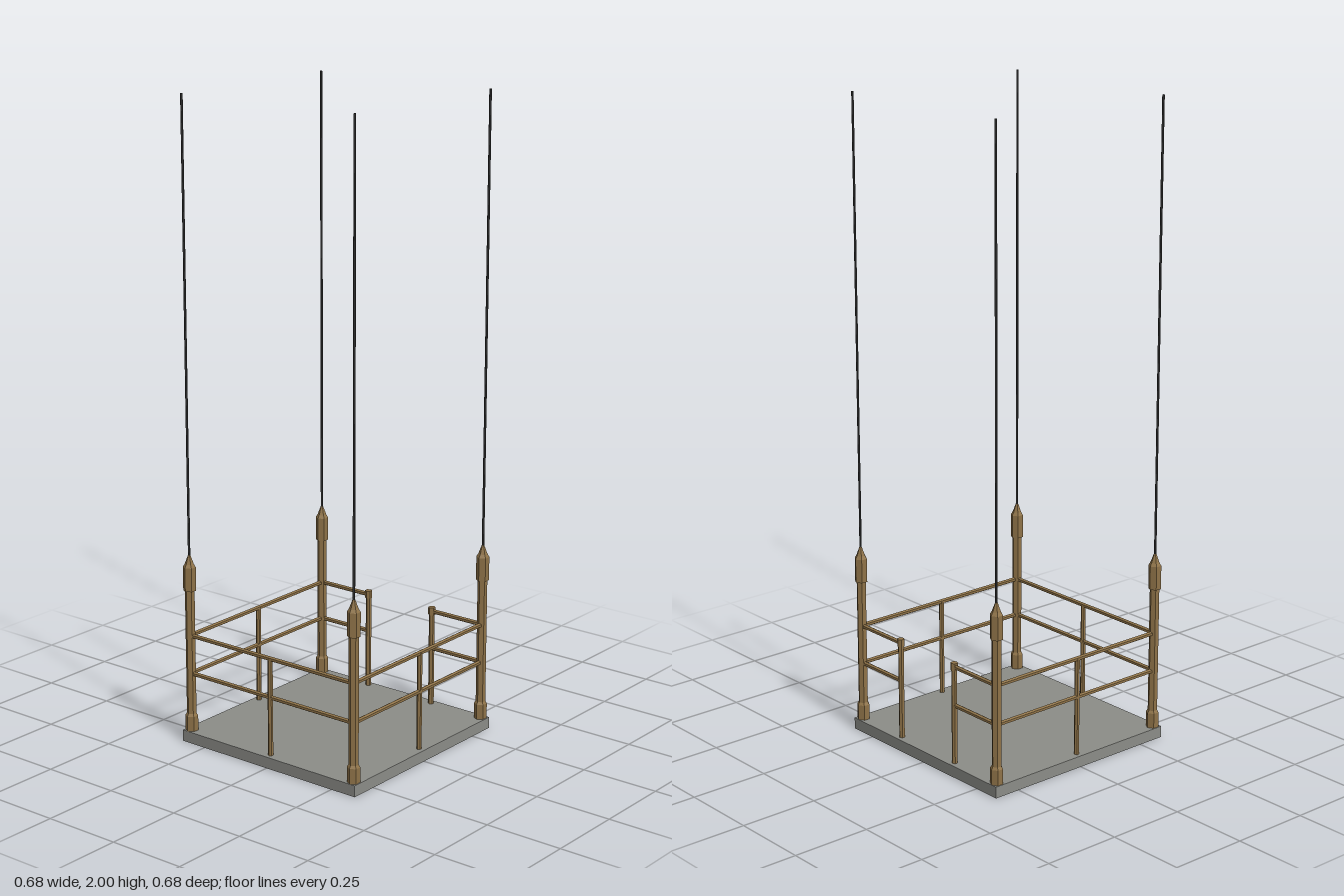
import * as THREE from 'three';

export function createModel() {
  const model = new THREE.Group();
  model.name = 'hangingPlatform';
  const mat = (name, color) => {
    const m = new THREE.MeshStandardMaterial({ color, flatShading: true });
    m.name = name;
    return m;
  };
  const stone = mat('grey deck', 0x8c8d88);
  const bronze = mat('bronze', 0x8f7348);
  const steel = mat('dark cable', 0x3a3a3a);

  const DECK = 0.036, P = 0.318, GATE = 0.126;

  function add(parent, name, geometry, material) {
    const mesh = new THREE.Mesh(geometry, material);
    mesh.name = name;
    parent.add(mesh);
    return mesh;
  }

  // Upright six-sided bar between two heights, corners pointing along x
  function upright(parent, name, x, z, y0, y1, r0, r1 = r0, material = bronze) {
    const g = new THREE.CylinderGeometry(r1, r0, y1 - y0, 6);
    g.rotateY(Math.PI / 2);
    add(parent, name, g, material).position.set(x, (y0 + y1) / 2, z);
  }

  // Horizontal six-sided rail between two points
  function rail(parent, x0, z0, x1, z1, y) {
    const len = Math.hypot(x1 - x0, z1 - z0);
    const g = new THREE.CylinderGeometry(0.0075, 0.0075, len, 6);
    g.rotateX(Math.PI / 2);
    const m = add(parent, 'rail', g, bronze);
    m.position.set((x0 + x1) / 2, y, (z0 + z1) / 2);
    m.rotation.y = Math.atan2(x1 - x0, z1 - z0);
  }

  // Deck
  add(model, 'deck', new THREE.BoxGeometry(0.676, DECK, 0.676), stone).position.y = DECK / 2;

  // Corner posts with foot, head, cone and cable
  for (const x of [-P, P]) {
    for (const z of [-P, P]) {
      const post = new THREE.Group();
      post.name = 'cornerPost';
      model.add(post);
      upright(post, 'foot', x, z, DECK, 0.084, 0.02);
      upright(post, 'footBevel', x, z, 0.084, 0.092, 0.02, 0.015);
      upright(post, 'shaft', x, z, DECK, 0.5, 0.015);
      upright(post, 'headCollar', x, z, 0.49, 0.565, 0.02);
      upright(post, 'headBevel', x, z, 0.565, 0.575, 0.02, 0.014);
      upright(post, 'headCone', x, z, 0.575, 0.602, 0.014, 0.004);
      upright(post, 'cable', x, z, 0.595, 2, 0.0038, 0.0038, steel);
    }
  }

  // Railings, with an opening on the +x side
  const railing = new THREE.Group();
  railing.name = 'railing';
  model.add(railing);
  for (const y of [0.222, 0.345]) {
    rail(railing, -P, P, P, P, y);
    rail(railing, -P, -P, P, -P, y);
    rail(railing, -P, -P, -P, P, y);
    for (const s of [-1, 1]) rail(railing, P, s * GATE, P, s * P, y);
  }

  // Middle balusters of the three closed sides
  for (const [x, z] of [[0, P], [0, -P], [-P, 0]])
    upright(railing, 'baluster', x, z, DECK, 0.345, 0.008);

  // Gate posts with small caps
  for (const s of [-1, 1]) {
    upright(railing, 'gatePost', P, s * GATE, DECK, 0.345, 0.009);
    upright(railing, 'gatePostCap', P, s * GATE, 0.334, 0.358, 0.0115);
  }

  return model;
}
